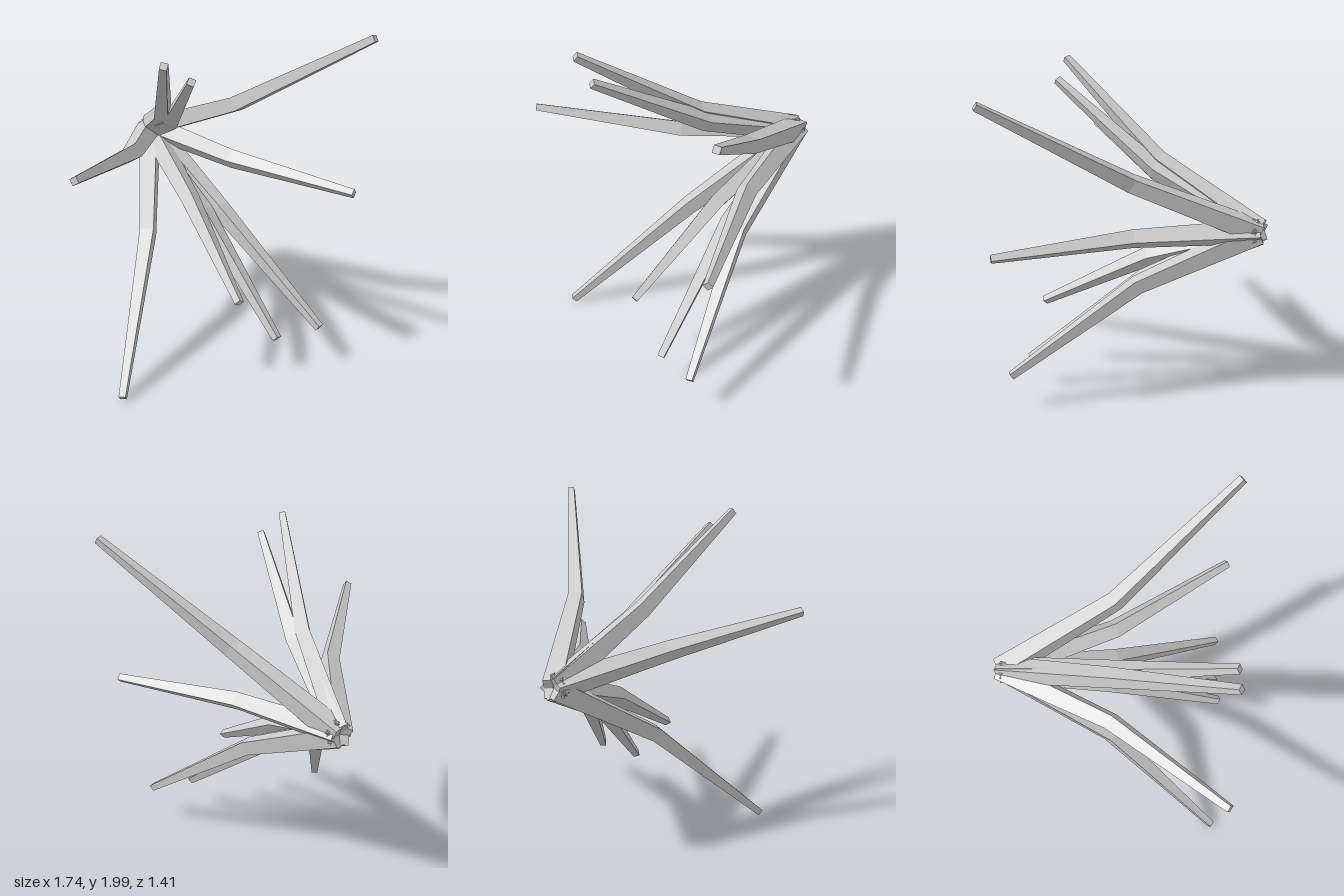
import * as THREE from 'three';

const material = new THREE.MeshStandardMaterial({ color: 0xcccccc, flatShading: true });
const HUB = new THREE.Vector3(0, 1.12, -0.655);

// Four-sided bent spike: base, elbow and tip sections joined by flat sides
function spikeGeometry(tipX, tipY) {
  const tip = new THREE.Vector3(tipX, tipY, 0.685);
  const elbow = HUB.clone().lerp(tip, 0.385).setZ(0.01);
  const centers = [HUB, elbow, tip];
  const radii = [0.08, 0.06, 0.028];

  const lower = elbow.clone().sub(HUB).normalize();
  const upper = tip.clone().sub(elbow).normalize();
  const along = [lower, lower.clone().add(upper).normalize(), upper];
  const outward = new THREE.Vector3(tipX - HUB.x, tipY - HUB.y, 0).normalize();
  const side = outward.clone().cross(new THREE.Vector3(0, 0, 1));

  const geometry = new THREE.CylinderGeometry(1, 1, 2, 4, 2);
  const pos = geometry.attributes.position;
  const p = new THREE.Vector3();
  for (let i = 0; i < pos.count; i++) {
    const row = Math.round(pos.getY(i)) + 1;
    const normal = along[row].clone().cross(side);
    p.copy(centers[row])
      .addScaledVector(normal, pos.getX(i) * radii[row])
      .addScaledVector(side, pos.getZ(i) * radii[row]);
    pos.setXYZ(i, p.x, p.y, p.z);
  }
  const flat = geometry.toNonIndexed();
  flat.computeVertexNormals();
  return flat;
}

export function createModel() {
  const group = new THREE.Group();
  group.name = 'spikeCluster';

  // Tip positions (x, y) of the spikes fanning out from the hub
  const tips = [
    [0.847, 1.98], [-0.365, 1.95], [-0.215, 1.85],
    [-0.855, 1.39], [0.775, 1.075], [0.08, 0.5],
    [0.325, 0.215], [0.6, 0.235], [-0.625, 0.022],
  ];
  tips.forEach(([x, y], i) => {
    const spike = new THREE.Mesh(spikeGeometry(x, y), material);
    spike.name = `spike${i + 1}`;
    group.add(spike);
  });
  return group;
}
